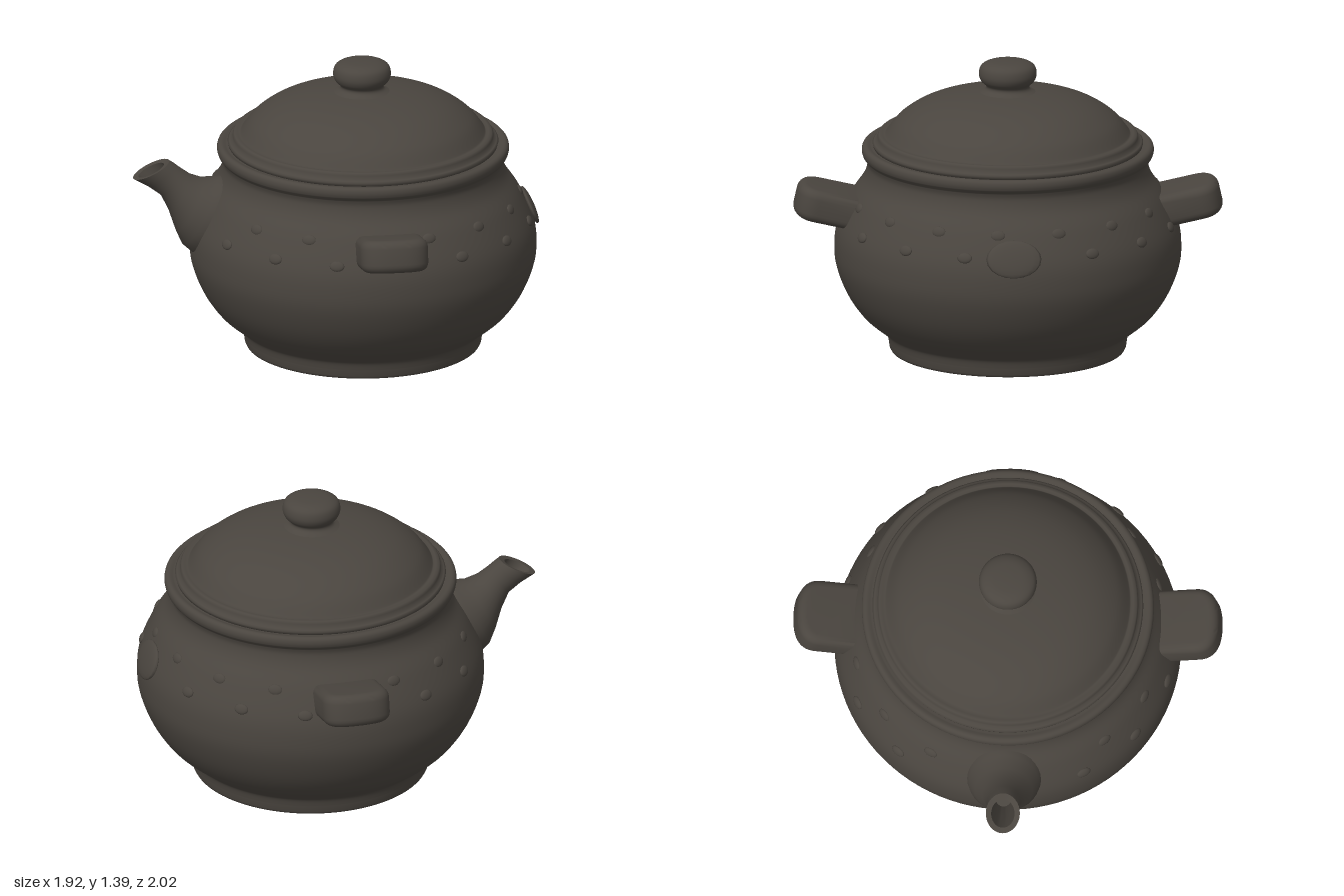
import * as THREE from 'three';
import { toCreasedNormals } from 'three/addons/utils/BufferGeometryUtils.js';

const CX = 0.135; // axis of the pot
const clay = new THREE.MeshStandardMaterial({ color: 0x4a453f });
clay.name = 'dark clay';

function part(name, geometry, parent) {
  const mesh = new THREE.Mesh(geometry, clay);
  mesh.name = name;
  parent.add(mesh);
  return mesh;
}

const vec = (pts) => pts.map(([x, y]) => new THREE.Vector2(x, y));
const smooth = (pts, n) => new THREE.SplineCurve(vec(pts)).getPoints(n);
const lathe = (pts) => new THREE.LatheGeometry(pts, 96);

// Body radius at a height in the decorated band
const bandRadius = (y) => 0.8 - 0.9 * Math.max(0, y - 0.61) ** 1.3;

// Tapered hollow tube: each section is [lower x, y, upper x, y, half width in z]
function spoutGeometry(sections, sides = 32) {
  const pos = [], idx = [];
  sections.forEach(([lx, ly, ux, uy, w]) => {
    for (let j = 0; j < sides; j++) {
      const a = (j / sides) * Math.PI * 2, c = Math.cos(a) / 2;
      pos.push((lx + ux) / 2 + c * (ux - lx), (ly + uy) / 2 + c * (uy - ly), Math.sin(a) * w);
    }
  });
  for (let i = 0; i < sections.length - 1; i++) {
    for (let j = 0; j < sides; j++) {
      const k = (j + 1) % sides;
      const a = i * sides + j, b = i * sides + k, c = a + sides, d = b + sides;
      idx.push(a, c, b, b, c, d);
    }
  }
  const g = new THREE.BufferGeometry();
  g.setAttribute('position', new THREE.Float32BufferAttribute(pos, 3));
  g.setIndex(idx);
  return toCreasedNormals(g, 0.8);
}

// Rounded loop with a finger hole, lying flat and pointing along +z
function handleGeometry() {
  const s = new THREE.Shape();
  s.moveTo(-0.16, 0.66);
  s.lineTo(0.16, 0.66);
  s.lineTo(0.16, 0.89);
  s.bezierCurveTo(0.16, 0.97, 0.1, 1.0, 0, 1.0);
  s.bezierCurveTo(-0.1, 1.0, -0.16, 0.97, -0.16, 0.89);
  s.closePath();
  const h = new THREE.Path();
  h.moveTo(-0.058, 0.71);
  h.lineTo(-0.058, 0.87);
  h.bezierCurveTo(-0.058, 0.93, 0.058, 0.93, 0.058, 0.87);
  h.lineTo(0.058, 0.71);
  h.closePath();
  s.holes.push(h);
  const g = new THREE.ExtrudeGeometry(s, {
    depth: 0.075, bevelEnabled: true, bevelThickness: 0.04, bevelSize: 0.04,
    bevelOffset: -0.04, bevelSegments: 5, curveSegments: 14,
  });
  g.translate(0, -0.85, -0.0375);
  g.rotateX(Math.PI / 2 - 0.22);
  return toCreasedNormals(g, 0.9);
}

export function createModel() {
  const model = new THREE.Group();
  model.name = 'clayPot';
  const pot = new THREE.Group();
  pot.name = 'pot';
  pot.position.x = CX;
  model.add(pot);

  // Body with foot ring, belly, neck and rolled rim
  part('body', lathe([
    ...vec([[0, 0], [0.535, 0], [0.55, 0.003], [0.556, 0.015]]),
    ...smooth([[0.56, 0.045], [0.572, 0.085], [0.605, 0.112], [0.685, 0.18], [0.755, 0.28], [0.803, 0.4],
      [0.815, 0.5], [0.8, 0.61], [0.74, 0.74], [0.68, 0.83], [0.66, 0.89], [0.666, 0.925]], 60),
    ...smooth([[0.68, 0.94], [0.686, 0.96], [0.682, 0.982], [0.665, 0.992], [0.642, 0.985]], 12),
    ...vec([[0.6, 0.98]]),
  ]), pot);

  // Lid: stepped flange and dome
  part('lid', lathe([
    ...vec([[0.6, 0.97], [0.632, 0.985], [0.636, 1.0], [0.628, 1.007], [0.613, 1.01], [0.612, 1.03],
      [0.605, 1.042], [0.59, 1.044], [0.578, 1.038]]),
    ...smooth([[0.572, 1.045], [0.52, 1.11], [0.44, 1.167], [0.35, 1.205], [0.25, 1.229], [0.13, 1.244], [0, 1.25]], 32),
  ]), pot);

  // Knob
  part('lidKnob', lathe(smooth([[0.14, 1.24], [0.108, 1.255], [0.102, 1.275], [0.125, 1.298], [0.136, 1.33],
    [0.126, 1.368], [0.09, 1.388], [0.04, 1.394], [0, 1.395]], 36)), pot).position.x = -0.005;

  // Spout, hollow at the mouth
  part('spout', spoutGeometry([
    [-0.56, 0.46, -0.4, 0.81, 0.2],
    [-0.67, 0.48, -0.5, 0.85, 0.185],
    [-0.725, 0.53, -0.56, 0.845, 0.165],
    [-0.755, 0.6, -0.625, 0.845, 0.135],
    [-0.788, 0.7, -0.685, 0.868, 0.1],
    [-0.825, 0.775, -0.735, 0.905, 0.078],
    [-0.885, 0.82, -0.76, 0.925, 0.077],
    [-0.955, 0.86, -0.785, 0.942, 0.08],
    [-0.93, 0.868, -0.81, 0.926, 0.055],
    [-0.85, 0.8, -0.77, 0.87, 0.045],
    [-0.77, 0.72, -0.72, 0.77, 0.035],
    [-0.745, 0.745, -0.745, 0.745, 0],
  ]), model);

  // Two loop handles, front and back
  const loop = handleGeometry();
  for (const side of [1, -1]) {
    const holder = new THREE.Group();
    holder.name = side > 0 ? 'frontHandle' : 'backHandle';
    holder.position.x = 0.157;
    holder.rotation.y = side > 0 ? 0 : Math.PI;
    model.add(holder);
    part('handleLoop', loop, holder).position.set(0, 0.722, 0.853);
  }

  // Low relief ornament around the shoulder
  const boss = new THREE.SphereGeometry(1, 16, 10);
  const relief = new THREE.Group();
  relief.name = 'shoulderRelief';
  pot.add(relief);
  const addBoss = (name, angle, y, w, h, d) => {
    const r = bandRadius(y);
    const m = part(name, boss, relief);
    m.position.set(Math.sin(angle) * r, y, Math.cos(angle) * r);
    m.rotation.set(-0.4, angle, 0, 'YXZ');
    m.scale.set(w, h, d);
  };
  for (let i = 0; i < 32; i++) {
    const a = ((i + 0.5) / 32) * Math.PI * 2;
    if (Math.abs(Math.sin(a)) < 0.28 || Math.sin(a) < -0.93) continue; // clear of handles and spout
    addBoss('reliefBoss', a, i % 2 ? 0.74 : 0.64, 0.035, 0.025, 0.012);
  }
  addBoss('sideMedallion', Math.PI / 2, 0.64, 0.13, 0.09, 0.02);

  return model;
}
